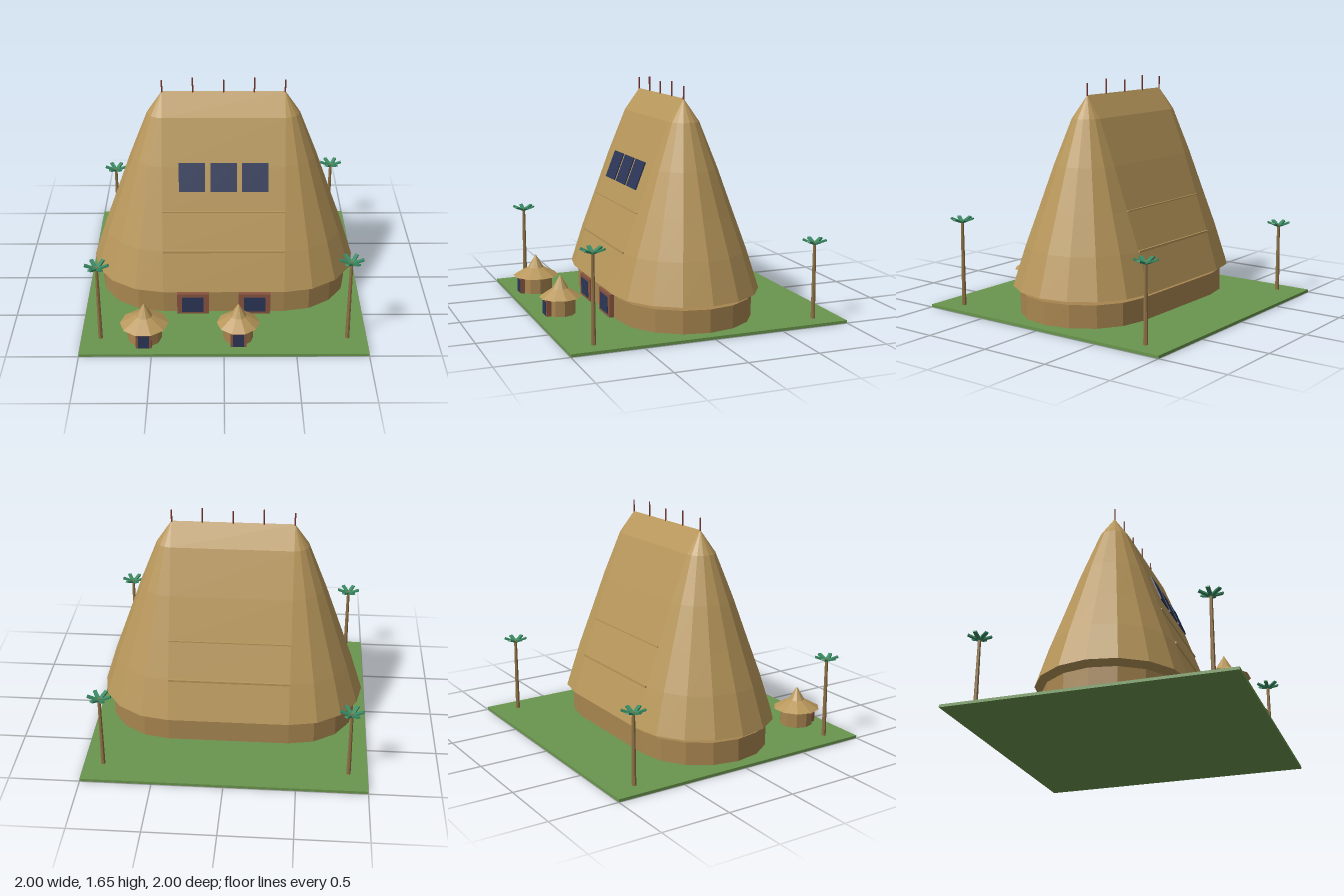
import * as THREE from 'three';

const mat = (name, color, extra = {}) => {
  const m = new THREE.MeshStandardMaterial({ color, flatShading: true, ...extra });
  m.name = name;
  return m;
};

// Stack of stadium-shaped rings: straight sides of half length c, rounded ends of radius r
function stadiumLoft(c, levels) {
  const seg = 8, n = 2 * (seg + 1), pos = [], idx = [];
  for (const [r, y] of levels) {
    for (const end of [1, -1]) {
      for (let i = 0; i <= seg; i++) {
        const a = -Math.PI / 2 + (Math.PI * i) / seg;
        pos.push(end * (c + r * Math.cos(a)), y, end * r * Math.sin(a));
      }
    }
  }
  for (let k = 0; k < levels.length - 1; k++) {
    for (let i = 0; i < n; i++) {
      const a = k * n + i, b = k * n + ((i + 1) % n);
      idx.push(a, a + n, b, b, a + n, b + n);
    }
  }
  const top = (levels.length - 1) * n;
  for (let i = 1; i < n - 1; i++) {
    idx.push(0, i, i + 1);
    if (levels[levels.length - 1][0] > 0) idx.push(top, top + i + 1, top + i);
  }
  const g = new THREE.BufferGeometry();
  g.setAttribute('position', new THREE.Float32BufferAttribute(pos, 3));
  g.setIndex(idx);
  g.computeVertexNormals();
  return g;
}

export function createModel() {
  const model = new THREE.Group();
  model.name = 'thatchedHouse';
  const grass = mat('grass', 0x6a954d);
  const thatch = mat('thatch', 0xb8975b);
  const wall = mat('wall', 0xa88650);
  const frame = mat('redFrame', 0x8a5540);
  const glass = mat('darkBlueGlass', 0x2c3757);
  const pole = mat('redPole', 0x7d3a32);
  const bark = mat('bark', 0x8f7245);
  const leaf = mat('leaf', 0x3a8a63);

  const add = (parent, name, geo, material, x = 0, y = 0, z = 0) => {
    const m = new THREE.Mesh(geo, material);
    m.name = name;
    m.position.set(x, y, z);
    parent.add(m);
    return m;
  };
  const box = (w, h, d) => new THREE.BoxGeometry(w, h, d);

  add(model, 'ground', box(2, 0.02, 2), grass, 0, 0.01, 0);

  // Main house: low wall and tall roof floating just above it
  const c = 0.435;
  add(model, 'houseWall', stadiumLoft(c, [[0.48, 0.02], [0.48, 0.182]]), wall);
  add(model, 'houseRoof', stadiumLoft(c, [
    [0.53, 0.217], [0.44, 0.5], [0.342, 0.77], [0.235, 1.07], [0.108, 1.39], [0, 1.548],
  ]), thatch);

  // Thatch ridges on both slopes
  for (const s of [1, -1]) {
    add(model, 'thatchRidge', box(0.87, 0.015, 0.015), thatch, 0, 0.5, s * 0.442);
    add(model, 'thatchRidge', box(0.87, 0.008, 0.015), thatch, 0, 0.77, s * 0.344);
  }

  // Ridge poles
  for (let i = -2; i <= 2; i++) {
    const top = i % 2 ? 1.65 : 1.632;
    add(model, 'ridgePole', new THREE.CylinderGeometry(0.006, 0.006, top - 1.53, 6), pole,
      i * 0.217, (top + 1.53) / 2, 0);
  }

  // Sloped roof windows
  for (const x of [-0.223, 0, 0.222]) {
    const w = add(model, 'roofWindow', box(0.185, 0.204, 0.009), glass, x, 1.006, 0.272);
    w.rotation.x = -0.375;
  }

  // Framed front windows
  for (const s of [1, -1]) {
    add(model, 'frontFrame', box(0.23, 0.165, 0.045), frame, s * 0.221, 0.1025, 0.4925);
    add(model, 'frontWindow', box(0.155, 0.12, 0.008), glass, s * 0.223, 0.1, 0.516);
  }

  // Small round huts: [x, roof radius, wall radius]
  for (const [x, r, wr] of [[-0.555, 0.17, 0.12], [0.1, 0.15, 0.105]]) {
    const hut = new THREE.Group();
    hut.name = 'hut';
    hut.position.set(x, 0, 0.8);
    model.add(hut);
    add(hut, 'hutWall', new THREE.CylinderGeometry(wr, wr, 0.128, 10, 1, false, Math.PI / 2), wall, 0, 0.084, 0);
    const profile = [[0, 0.144], [r, 0.144], [0.058, 0.206], [0, 0.302]].map(p => new THREE.Vector2(...p));
    add(hut, 'hutRoof', new THREE.LatheGeometry(profile, 10, Math.PI / 2), thatch);
    add(hut, 'hutDoorFrame', box(0.11, 0.122, 0.045), frame, 0, 0.081, wr - 0.01);
    add(hut, 'hutDoor', box(0.076, 0.1, 0.008), glass, 0, 0.072, wr + 0.013);
  }

  // Palms: [x, z, trunk top]
  for (const [x, z, h] of [[-0.865, 0.805, 0.6], [0.865, 0.805, 0.64], [-0.865, -0.805, 0.525], [0.865, -0.805, 0.565]]) {
    const palm = new THREE.Group();
    palm.name = 'palm';
    palm.position.set(x, 0, z);
    model.add(palm);
    add(palm, 'palmTrunk', new THREE.CylinderGeometry(0.011, 0.016, h - 0.02, 7), bark, 0, (h + 0.02) / 2, 0);
    for (let i = 0; i < 6; i++) {
      const pivot = new THREE.Group();
      pivot.name = 'palmFrond';
      pivot.position.y = h - 0.014;
      pivot.rotation.y = (i * Math.PI) / 3;
      palm.add(pivot);
      add(pivot, 'frondBlade', box(0.078, 0.012, 0.026), leaf, 0.045, 0.017, 0).rotation.z = 0.36;
    }
  }
  return model;
}
